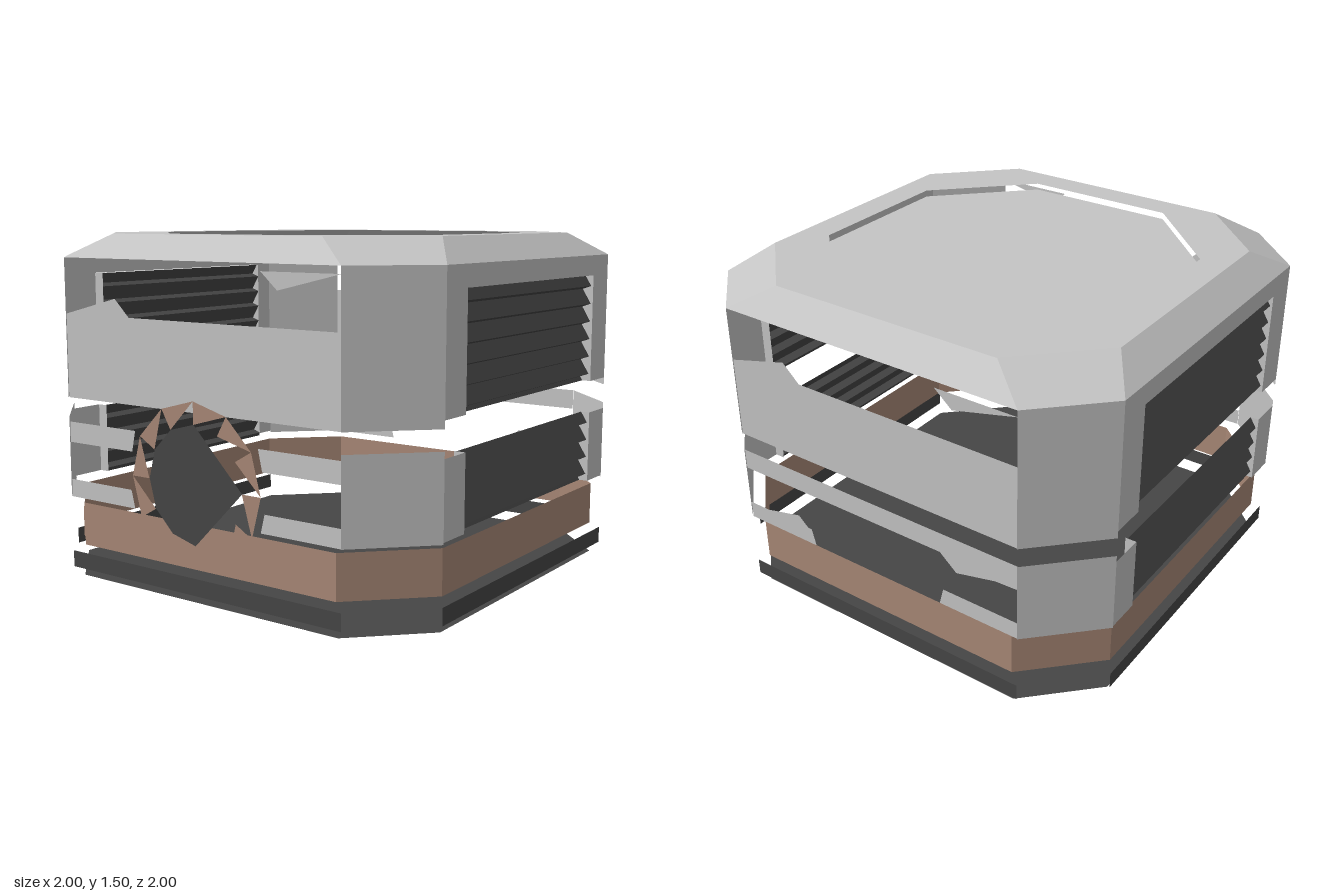
import * as THREE from 'three';

const material = (name, color) => {
  const m = new THREE.MeshStandardMaterial({ color, side: THREE.DoubleSide });
  m.name = name;
  return m;
};

// Octagon with half width w and half straight side c, as [x, z] pairs
const octagon = (w, c) => [[c, w], [w, c], [w, -c], [c, -w], [-c, -w], [-w, -c], [-w, c], [-c, w]];

// Flat-shaded geometry from a list of four-cornered faces
function quads(faces) {
  const p = faces.flatMap(([a, b, c, d]) => [a, b, c, a, c, d].flat());
  const g = new THREE.BufferGeometry();
  g.setAttribute('position', new THREE.Float32BufferAttribute(p, 3));
  g.computeVertexNormals();
  return g;
}

// Wall joining two octagons at two heights
const band = (lower, y0, upper, y1) => quads(lower.map(([x, z], i) => {
  const j = (i + 1) % 8;
  return [[x, y0, z], [lower[j][0], y0, lower[j][1]], [upper[j][0], y1, upper[j][1]], [upper[i][0], y1, upper[i][1]]];
}));

// Sawtooth louvre sheet, swept across its width
function louvres(half, y0, y1, inner, outer) {
  const profile = [[inner + 0.01, y0]];
  for (let y = y0 + 0.018; y < y1 - 0.03; y += 0.08) profile.push([inner, y], [outer, y + 0.014]);
  profile.push([inner + 0.01, y1]);
  return quads(profile.slice(1).map(([z, y], i) => {
    const [pz, py] = profile[i];
    return [[-half, py, pz], [half, py, pz], [half, y, z], [-half, y, z]];
  }));
}

const outline = (pts) => new THREE.Shape(pts.map(([x, y]) => new THREE.Vector2(x, y)));
const rect = (x0, y0, x1, y1) => [[x0, y0], [x1, y0], [x1, y1], [x0, y1]];

export function createModel() {
  const root = new THREE.Group();
  root.name = 'module';
  const grey = material('shell grey', 0xc4c4c4);
  const brown = material('copper brown', 0xa88876);
  const dark = material('dark grey', 0x464646);
  const C = 0.725; // half length of each straight side

  const add = (parent, name, geometry, mat) => {
    const mesh = new THREE.Mesh(geometry, mat);
    mesh.name = name;
    parent.add(mesh);
    return mesh;
  };
  const plate = (parent, name, pts, z, mat) => {
    const mesh = add(parent, name, new THREE.ShapeGeometry(outline(pts)), mat);
    mesh.position.z = z;
  };
  const deck = (name, pts, y, mat, hole) => {
    const shape = outline(pts.map(([x, z]) => [x, -z]));
    if (hole) shape.holes.push(new THREE.Path(hole.map(([x, z]) => new THREE.Vector2(x, -z))));
    const g = new THREE.ShapeGeometry(shape);
    g.rotateX(-Math.PI / 2);
    g.translate(0, y, 0);
    add(root, name, g, mat);
  };

  // Roof: sloped rim, top ring and sunken lid
  const roofTop = octagon(0.875, 0.55), lid = octagon(0.74, 0.35);
  add(root, 'roofSlope', band(octagon(1, C), 1.4, roofTop, 1.5), grey);
  deck('roofRing', roofTop, 1.5, grey, lid);
  deck('lid', lid, 1.47, grey);

  // Brown belt and dark floor
  const belt = octagon(0.97, 0.68);
  add(root, 'belt', band(belt, 0.14, belt, 0.33), brown);
  deck('floor', octagon(0.97, 0.69), 0, dark);

  for (let i = 0; i < 4; i++) {
    // Corner posts, upper and lower
    const corner = new THREE.Group();
    corner.name = 'cornerPost';
    corner.rotation.y = Math.PI / 4 + i * Math.PI / 2;
    root.add(corner);
    const w = (1 - C) / Math.SQRT2, d = (1 + C) / Math.SQRT2;
    plate(corner, 'upperPost', rect(-w, 0.797, w, 1.4), d, grey);
    plate(corner, 'lowerPost', rect(-w, 0.357, w, 0.713), d, grey);

    // Low wall along each straight side above the floor
    const edge = new THREE.Group();
    edge.name = 'floorEdge';
    edge.rotation.y = i * Math.PI / 2;
    root.add(edge);
    plate(edge, 'edgeWall', rect(-C, 0.04, C, 0.113), 1, dark);
  }

  // Louvred sides with recessed frames
  for (const s of [1, -1]) {
    const side = new THREE.Group();
    side.name = s > 0 ? 'leftGrille' : 'rightGrille';
    side.rotation.y = s * Math.PI / 2;
    root.add(side);
    plate(side, 'grilleHeader', rect(-C, 1.31, C, 1.4), 1, grey);
    for (const [y0, y1] of [[0.83, 1.31], [0.365, 0.685]]) {
      for (const e of [1, -1]) {
        const x = e * 0.57;
        plate(side, 'frameStile', rect(x, y0, e * C, y1), 1, grey);
        add(side, 'frameJamb', quads([[[x, y0, 0.95], [x, y0, 1], [x, y1, 1], [x, y1, 0.95]]]), grey);
      }
      add(side, 'louvres', louvres(0.57, y0, y1, 0.95, 0.99), dark);
    }
  }

  // Front and back panels, turned copies of each other
  const Z = 0.996;
  for (const back of [false, true]) {
    const face = new THREE.Group();
    face.name = back ? 'backPanels' : 'frontPanels';
    face.rotation.y = back ? Math.PI : 0;
    root.add(face);
    plate(face, 'mainPanelLower', rect(-C, 0.797, C, 0.98), Z, grey);
    plate(face, 'mainPanelUpper', [[-C, 0.98], [C, 0.98], [C, 1.16], [-0.35, 1.16], [-0.43, 1.235], [-C, 1.16]], Z, grey);
    plate(face, 'hangingTab', [[C, 1.37], [0.35, 1.37], [0.43, 1.3]], Z, grey);
    for (const s of [1, -1]) {
      plate(face, 'lowerStrip', [[s * C, 0.357], [s * C, 0.435], [s * 0.36, 0.435], [s * 0.34, 0.357]], Z, grey);
      if (!back) {
        plate(face, 'upperStrip', [[s * C, 0.6], [s * C, 0.69], [s * 0.33, 0.69], [s * 0.35, 0.6]], Z, grey);
        plate(face, 'beltPlate', [[s * 0.68, 0.18], [s * 0.68, 0.315], [s * 0.35, 0.315], [s * 0.22, 0.18]], 0.975, brown);
      }
    }
    if (back) {
      plate(face, 'backRail', [[-C, 0.62], [0.35, 0.62], [0.43, 0.55], [0.62, 0.595], [C, 0.6], [C, 0.713], [-C, 0.713]], Z, grey);
      plate(face, 'raisedTab', [[-0.62, 0.435], [-0.38, 0.435], [-0.43, 0.48]], Z, grey);
    }
  }

  // Round vent: dark hub with a ring of twelve brown blades
  const vent = new THREE.Group();
  vent.name = 'vent';
  vent.position.y = 0.5;
  root.add(vent);
  const polar = (r, k) => [r * Math.cos(k * Math.PI / 6), r * Math.sin(k * Math.PI / 6)];
  plate(vent, 'hub', [0, 3, 4, 5, 6, 7, 8, 9].map((k) => polar(0.25, k)), 0.998, dark);
  for (let k = 0; k < 12; k++) {
    plate(vent, 'blade', [polar(0.345, k), polar(0.345, k + 1), polar(0.25, k + 1)], 1, brown);
  }
  return root;
}
